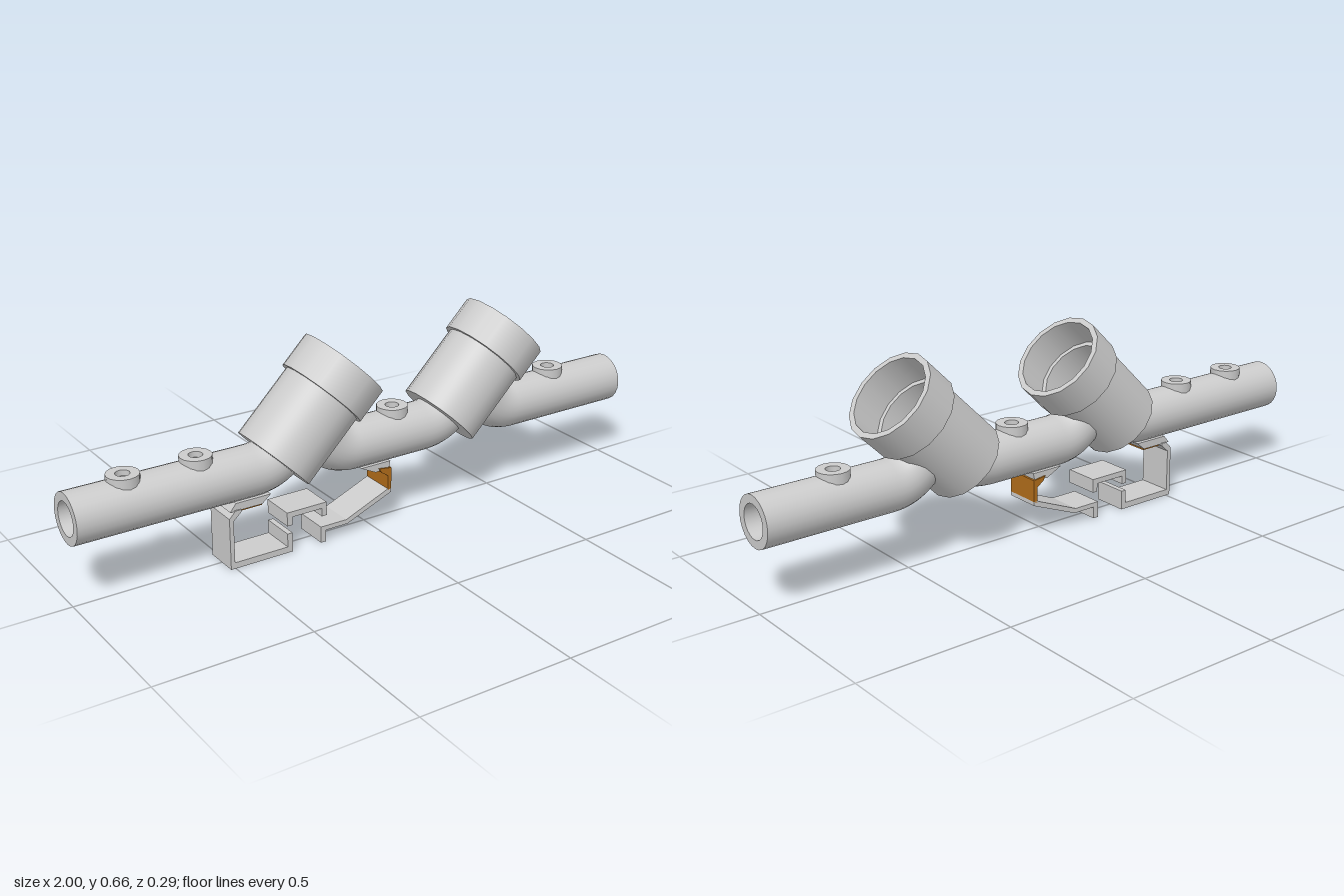
import * as THREE from 'three';

const grey = new THREE.MeshStandardMaterial({ color: 0xcccccc });
const greyInside = new THREE.MeshStandardMaterial({ color: 0xcccccc, side: THREE.BackSide });
const greyBoth = new THREE.MeshStandardMaterial({ color: 0xcccccc, side: THREE.DoubleSide });
const orange = new THREE.MeshStandardMaterial({ color: 0xb06c1a });

const AXIS_Y = 0.28, PIPE_R = 0.08, BORE_R = 0.053, SIDES = 16;
const V = (x, y) => new THREE.Vector3(x, y, 0);

function add(parent, name, geometry, material = grey) {
  const mesh = new THREE.Mesh(geometry, material);
  mesh.name = name;
  parent.add(mesh);
  return mesh;
}

// Turned part with a sharp edge at every profile point; null breaks the profile
function turned(parent, name, profile) {
  const group = new THREE.Group();
  group.name = name;
  for (let i = 0; i + 1 < profile.length; i++) {
    if (!profile[i] || !profile[i + 1]) continue;
    const pts = [profile[i], profile[i + 1]].map(([r, y]) => new THREE.Vector2(r, y));
    add(group, name + 'Face', new THREE.LatheGeometry(pts, SIDES));
  }
  parent.add(group);
  return group;
}

// Sixteen-sided wall with a round opening on its +x side
function wallWithOpening(r, y0, y1, openingY, openingR) {
  const g = new THREE.CylinderGeometry(r, r, y1 - y0, SIDES * 6, 28, true);
  g.translate(0, (y0 + y1) / 2, 0);
  const p = g.attributes.position, step = (2 * Math.PI) / SIDES;
  for (let i = 0; i < p.count; i++) {
    const a = Math.atan2(p.getX(i), p.getZ(i)) + 2 * Math.PI + 1e-6;
    const k = Math.cos(step / 2) / Math.cos((a % step) - step / 2);
    p.setXYZ(i, p.getX(i) * k, p.getY(i), p.getZ(i) * k);
  }
  const kept = [], idx = g.index.array;
  for (let i = 0; i < idx.length; i += 3) {
    const t = [idx[i], idx[i + 1], idx[i + 2]];
    const mean = (get) => t.reduce((s, v) => s + get(v), 0) / 3;
    const y = mean((v) => p.getY(v)), z = mean((v) => p.getZ(v));
    const open = mean((v) => p.getX(v)) > 0 && Math.hypot(y - openingY, z) < openingR;
    if (!open) kept.push(...t);
  }
  g.setIndex(kept);
  return g;
}

// Hollow pipe along a path, closed between bore and skin at both ends
function pipe(parent, name, curves) {
  const group = new THREE.Group();
  group.name = name;
  const path = new THREE.CurvePath();
  curves.forEach((c) => path.add(c));
  add(group, 'pipeSkin', new THREE.TubeGeometry(path, 72, PIPE_R, 24));
  add(group, 'pipeBore', new THREE.TubeGeometry(path, 72, BORE_R, 24), greyInside);
  for (const u of [0, 1]) {
    const ring = add(group, 'pipeEnd', new THREE.RingGeometry(BORE_R, PIPE_R, 24), greyBoth);
    ring.position.copy(path.getPointAt(u));
    ring.quaternion.setFromUnitVectors(new THREE.Vector3(0, 0, 1), path.getTangentAt(u));
  }
  parent.add(group);
}

// Flat profile extruded across the width of the bracket
function strip(parent, name, points, material = grey, width = 0.117) {
  const shape = new THREE.Shape(points.map(([x, y]) => new THREE.Vector2(x, y)));
  const g = new THREE.ExtrudeGeometry(shape, { depth: width, bevelEnabled: false });
  g.translate(0, 0, -width / 2);
  return add(parent, name, g, material);
}

export function createModel() {
  const model = new THREE.Group();
  model.name = 'doubleValveManifold';

  // Slanted valve bodies: open cup, collar, floor with inlet, side outlet
  const offsets = [0, 0.62];
  const outletY = 0.14;
  for (const o of offsets) {
    const body = new THREE.Group();
    body.name = 'valveBody';
    body.position.set(-0.3275 + o, 0.2975, 0);
    body.rotation.z = -Math.PI / 4;
    model.add(body);
    turned(body, 'valveCollar', [
      [BORE_R, 0], [0.133, 0], null,
      [0.133, 0.245], [0.147, 0.245], [0.147, 0.36], [0.129, 0.36], [0.129, 0.25], [0.115, 0.25], null,
      [0.115, 0.02], [BORE_R, 0.02],
    ]);
    add(body, 'valveOuterWall', wallWithOpening(0.133, 0, 0.245, outletY, 0.066));
    add(body, 'valveInnerWall', wallWithOpening(0.115, 0.02, 0.25, outletY, 0.066), greyInside);
  }

  // Bends into the cup floor and out of the cup side
  const s = Math.SQRT1_2;
  const inletStart = (o) => V(-0.415 + o, AXIS_Y);
  const outletEnd = (o) => V(-0.052 + o, AXIS_Y);
  const inlet = (o) => new THREE.QuadraticBezierCurve3(
    inletStart(o), V(-0.345 + o, AXIS_Y), V(-0.345 + o + 0.055 * s, AXIS_Y + 0.055 * s));
  const outlet = (o) => new THREE.QuadraticBezierCurve3(
    V(-0.3275 + o + (outletY + 0.105) * s, 0.2975 + (outletY - 0.105) * s),
    V(-0.112 + o, AXIS_Y), outletEnd(o));

  // Three pipe runs
  const [a, b] = offsets;
  pipe(model, 'inletPipe', [new THREE.LineCurve3(V(-1, AXIS_Y), inletStart(a)), inlet(a)]);
  pipe(model, 'middlePipe', [outlet(a), new THREE.LineCurve3(outletEnd(a), inletStart(b)), inlet(b)]);
  pipe(model, 'outletPipe', [outlet(b), new THREE.LineCurve3(outletEnd(b), V(1, AXIS_Y))]);

  // Small ports along the top
  for (const x of [-0.82, -0.588, 0.107, 0.743]) {
    const port = turned(model, 'topPort', [[0.05, 0.335], [0.05, 0.375], [0.022, 0.375], [0.022, 0.345]]);
    port.position.x = x;
  }

  // Mounting bracket below
  const bracket = new THREE.Group();
  bracket.name = 'mountingBracket';
  model.add(bracket);
  strip(bracket, 'leftHook', [
    [-0.516, 0], [-0.3, 0], [-0.3, 0.064], [-0.318, 0.064], [-0.318, 0.02], [-0.502, 0.02],
    [-0.502, 0.158], [-0.475, 0.182], [-0.475, 0.19], [-0.495, 0.19], [-0.516, 0.168],
  ]);
  strip(bracket, 'bridge', [
    [-0.318, 0.09], [-0.3, 0.09], [-0.3, 0.117], [-0.194, 0.117], [-0.194, 0.09],
    [-0.176, 0.09], [-0.176, 0.135], [-0.318, 0.135],
  ]);
  strip(bracket, 'rightArm', [
    [-0.198, 0], [-0.18, 0], [-0.18, 0.039], [-0.1, 0.039], [0.066, 0.106],
    [0.066, 0.119], [0.053, 0.119], [-0.104, 0.054], [-0.198, 0.054],
  ]);
  strip(bracket, 'rightClip', [
    [0.053, 0.114], [0.066, 0.119], [0.066, 0.19], [0.02, 0.196], [0.03, 0.18], [0.053, 0.165],
  ], orange);

  // Pads joining the bracket to the pipe
  strip(bracket, 'leftPad', [[-0.51, 0.187], [-0.4, 0.187], [-0.37, 0.212], [-0.49, 0.212]], grey, 0.108);
  strip(bracket, 'leftPadLiner', [[-0.47, 0.182], [-0.4, 0.182], [-0.4, 0.187], [-0.47, 0.187]], orange, 0.1);
  strip(bracket, 'rightPad', [[0.01, 0.185], [0.06, 0.19], [0.065, 0.212], [-0.045, 0.212]], grey, 0.108);

  return model;
}
